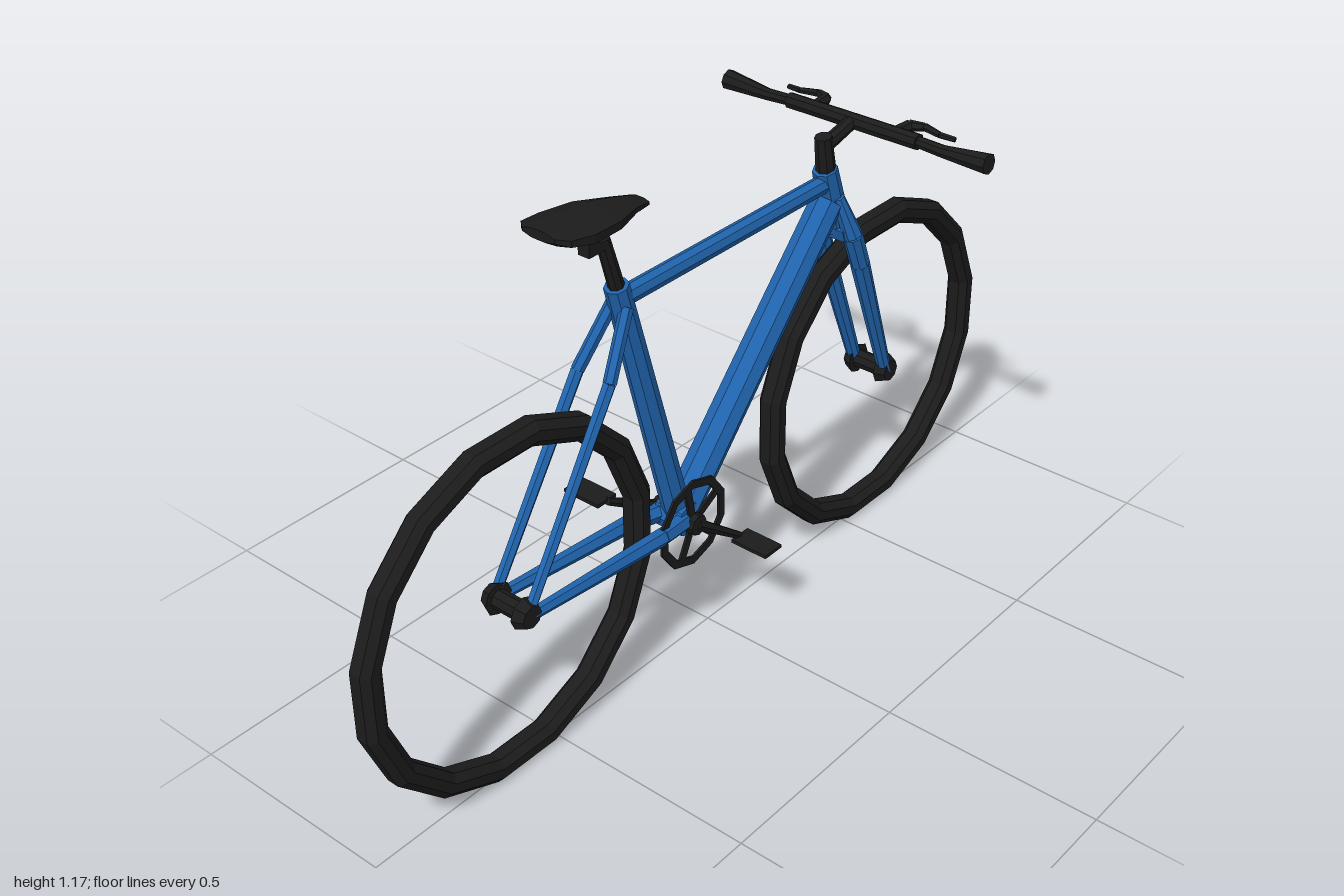
import * as THREE from 'three';

export function createModel() {
  const bike = new THREE.Group();
  bike.name = 'bicycle';
  const blue = new THREE.MeshStandardMaterial({ color: 0x2064ae, flatShading: true });
  blue.name = 'frame blue';
  const black = new THREE.MeshStandardMaterial({ color: 0x1c1c1c, flatShading: true });
  black.name = 'matte black';
  const V = (x, y, z = 0) => new THREE.Vector3(x, y, z);

  function add(name, geo, mat, parent = bike) {
    const mesh = new THREE.Mesh(geo, mat);
    mesh.name = name;
    parent.add(mesh);
    return mesh;
  }
  // straight tapered tube between two points
  function tube(name, a, b, ra, rb, mat, sides = 8) {
    const mesh = add(name, new THREE.CylinderGeometry(rb, ra, a.distanceTo(b), sides), mat);
    mesh.position.copy(a).lerp(b, 0.5);
    mesh.quaternion.setFromUnitVectors(V(0, 1), b.clone().sub(a).normalize());
    return mesh;
  }
  // chain of tubes through several points
  function run(name, pts, radii, mat, sides) {
    for (let i = 1; i < pts.length; i++) tube(name, pts[i - 1], pts[i], radii[i - 1], radii[i], mat, sides);
  }
  function box(name, w, h, d, x, y, z, mat) {
    const mesh = add(name, new THREE.BoxGeometry(w, h, d), mat);
    mesh.position.set(x, y, z);
    return mesh;
  }

  // wheels: sixteen-sided tyres with a closed octagonal section, and hubs
  const R = 0.404;
  const section = [
    [R, -0.014], [R, 0.014], [R - 0.016, 0.028], [R - 0.038, 0.028],
    [R - 0.054, 0.014], [R - 0.054, -0.014], [R - 0.038, -0.028], [R - 0.016, -0.028], [R, -0.014],
  ].map(([r, y]) => new THREE.Vector2(r, y));
  const hubs = { rear: V(-0.6, 0.397), front: V(0.595, 0.397) };
  for (const [end, c] of Object.entries(hubs)) {
    const tyre = add(end + 'Tyre', new THREE.LatheGeometry(section, 16, Math.PI / 16), black);
    tyre.rotation.x = Math.PI / 2;
    tyre.position.copy(c);
    const z = (d) => V(c.x, c.y, d);
    tube(end + 'Hub', z(-0.045), z(0.045), 0.022, 0.022, black);
    for (const s of [-1, 1]) tube(end + 'HubCap', z(s * 0.034), z(s * 0.058), 0.037, 0.026, black);
  }

  // main frame
  tube('headTube', V(0.435, 0.82), V(0.388, 0.972), 0.033, 0.028, blue);
  tube('topTube', V(-0.265, 0.938), V(0.392, 0.938), 0.021, 0.021, blue);
  tube('downTube', V(-0.09, 0.35), V(0.4, 0.89), 0.04, 0.037, blue);
  tube('seatTube', V(-0.1, 0.345), V(-0.273, 0.97), 0.031, 0.026, blue);
  tube('bottomBracket', V(-0.1, 0.345, -0.036), V(-0.1, 0.345, 0.036), 0.04, 0.04, blue);

  // paired stays and fork blades
  for (const s of [-1, 1]) {
    run('seatStay', [V(-0.265, 0.925, s * 0.018), V(-0.345, 0.8, s * 0.042), V(-0.595, 0.405, s * 0.046)],
      [0.014, 0.014, 0.012], blue, 6);
    run('chainStay', [V(-0.1, 0.345, s * 0.028), V(-0.2, 0.357, s * 0.042), V(-0.59, 0.392, s * 0.046)],
      [0.022, 0.02, 0.013], blue, 6);
    run('forkBlade', [V(0.407, 0.905, s * 0.024), V(0.435, 0.81, s * 0.046), V(0.465, 0.73, s * 0.048),
      V(0.592, 0.395, s * 0.043)], [0.014, 0.023, 0.022, 0.016], blue, 8);
  }
  box('forkCrown', 0.05, 0.03, 0.08, 0.434, 0.82, 0, blue).rotation.z = 0.3;

  // chainring with spider arms
  const ring = (r, Type) => {
    const p = new Type();
    for (let i = 0; i < 10; i++) {
      const a = (i / 10) * Math.PI * 2 + Math.PI / 10;
      p[i ? 'lineTo' : 'moveTo'](r * Math.cos(a), r * Math.sin(a));
    }
    p.closePath();
    return p;
  };
  const crank = V(-0.1, 0.34);
  const shape = ring(0.107, THREE.Shape);
  shape.holes.push(ring(0.088, THREE.Path));
  const chainring = add('chainring', new THREE.ExtrudeGeometry(shape, { depth: 0.006, bevelEnabled: false }), black);
  chainring.position.set(crank.x, crank.y, 0.039);
  for (let i = 0; i < 5; i++) {
    const a = (i / 5) * Math.PI * 2 + 0.5;
    const arm = box('spiderArm', 0.095, 0.018, 0.006,
      crank.x + 0.048 * Math.cos(a), crank.y + 0.048 * Math.sin(a), 0.042, black);
    arm.rotation.z = a;
  }
  tube('crankAxle', V(crank.x, crank.y, -0.06), V(crank.x, crank.y, 0.06), 0.024, 0.024, black);

  // cranks and pedals, opposite each other
  for (const [s, x, y] of [[1, 0.045, 0.23], [-1, -0.262, 0.44]]) {
    tube('crankArm', V(crank.x, crank.y, s * 0.052), V(x, y, s * 0.052), 0.014, 0.009, black, 6);
    box('pedal', 0.056, 0.008, 0.095, x, y, s * 0.1, black);
  }

  // seat post and clamp
  tube('seatPost', V(-0.27, 0.96), V(-0.308, 1.085), 0.017, 0.015, black);
  box('postHead', 0.06, 0.02, 0.028, -0.33, 1.077, 0, black);
  box('saddleClamp', 0.03, 0.05, 0.03, -0.345, 1.102, 0, black);

  // saddle lofted from cross-sections: x, centre height, half width, half height
  const cuts = [[-0.475, 1.158, 0.04, 0.01], [-0.455, 1.152, 0.063, 0.016], [-0.4, 1.143, 0.07, 0.022],
    [-0.32, 1.138, 0.062, 0.02], [-0.25, 1.132, 0.036, 0.013], [-0.2, 1.124, 0.024, 0.007]];
  const pos = [], idx = [], N = 8;
  for (const [x, y, w, h] of cuts) {
    for (let i = 0; i < N; i++) {
      const a = ((i + 0.5) / N) * Math.PI * 2;
      pos.push(x, y + h * Math.sin(a) * 1.08, w * Math.cos(a) * 1.08);
    }
  }
  for (let k = 0; k < cuts.length - 1; k++) {
    for (let i = 0; i < N; i++) {
      const a = k * N + i, b = k * N + (i + 1) % N;
      idx.push(a, a + N, b, b, a + N, b + N);
    }
  }
  const last = (cuts.length - 1) * N;
  for (let i = 1; i < N - 1; i++) idx.push(0, i, i + 1, last, last + i + 1, last + i);
  const saddleGeo = new THREE.BufferGeometry();
  saddleGeo.setAttribute('position', new THREE.Float32BufferAttribute(pos, 3));
  saddleGeo.setIndex(idx);
  saddleGeo.computeVertexNormals();
  black.side = THREE.DoubleSide;
  add('saddle', saddleGeo, black);

  // steerer, stem and flat handlebar
  tube('steerer', V(0.395, 0.95), V(0.378, 1.05), 0.023, 0.019, black);
  tube('stem', V(0.38, 1.025), V(0.482, 1.05), 0.017, 0.016, black);
  tube('handlebar', V(0.483, 1.05, -0.17), V(0.483, 1.05, 0.17), 0.018, 0.018, black);
  for (const s of [-1, 1]) {
    run('grip', [V(0.483, 1.05, s * 0.17), V(0.483, 1.047, s * 0.23), V(0.483, 1.052, s * 0.343)],
      [0.013, 0.014, 0.023], black, 8);
    // brake lever
    run('brakeLever', [V(0.485, 1.05, s * 0.105), V(0.535, 1.052, s * 0.11), V(0.55, 1.052, s * 0.14),
      V(0.54, 1.05, s * 0.185), V(0.545, 1.048, s * 0.22)], [0.014, 0.013, 0.009, 0.007, 0.006], black, 6);
  }
  return bike;
}
